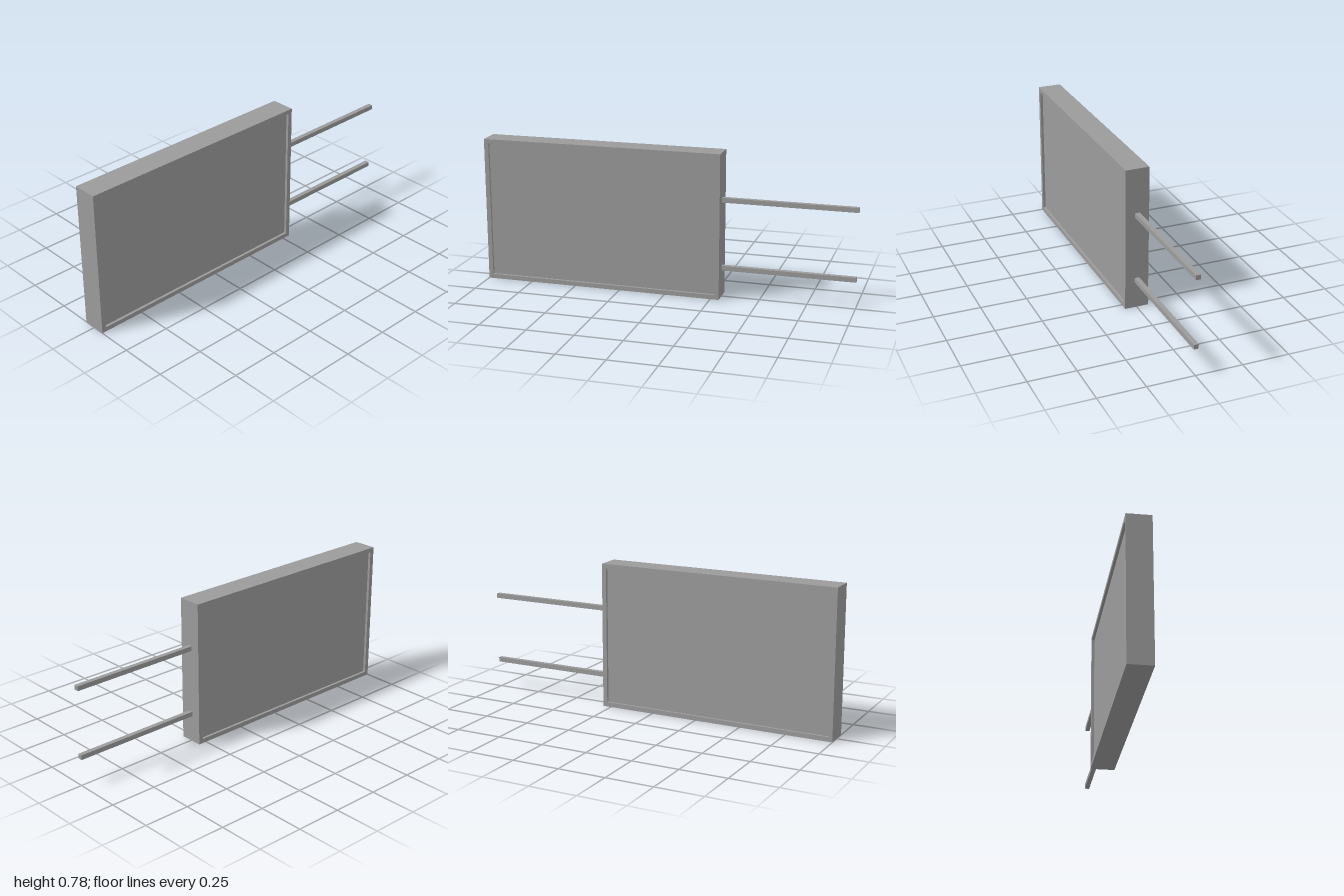
import * as THREE from 'three';

const WIDTH = 0.128, HEIGHT = 0.778, FRONT = 1, BACK = -0.296;
const RIM = 0.024, RECESS = 0.014, ROD = 0.025;

export function createModel() {
  const group = new THREE.Group();
  const material = new THREE.MeshStandardMaterial({ color: 0x9b9b9b });

  const add = (name, geometry, x, y, z) => {
    const mesh = new THREE.Mesh(geometry, material);
    mesh.name = name;
    mesh.position.set(x, y, z);
    group.add(mesh);
  };

  const length = FRONT - BACK;
  const midY = HEIGHT / 2, midZ = (FRONT + BACK) / 2;

  // Rectangular casing, open on both broad sides
  const rectangle = (Type, w, h) => new Type([
    new THREE.Vector2(-w / 2, -h / 2), new THREE.Vector2(w / 2, -h / 2),
    new THREE.Vector2(w / 2, h / 2), new THREE.Vector2(-w / 2, h / 2),
  ]);
  const outline = rectangle(THREE.Shape, length, HEIGHT);
  outline.holes.push(rectangle(THREE.Path, length - 2 * RIM, HEIGHT - 2 * RIM));
  const casing = new THREE.ExtrudeGeometry(outline, { depth: WIDTH, bevelEnabled: false });
  casing.translate(0, 0, -WIDTH / 2).rotateY(Math.PI / 2);
  add('frame', casing, 0, midY, midZ);

  // Sign panel, set back from the rim on both sides
  add('panel', new THREE.BoxGeometry(WIDTH - 2 * RECESS, HEIGHT - 2 * RIM, length - 2 * RIM), 0, midY, midZ);

  // Two square mounting rods reaching back
  const rodLength = BACK + 1;
  for (const [name, y] of [['upperRod', 0.525], ['lowerRod', 0.158]]) {
    add(name, new THREE.BoxGeometry(ROD, ROD, rodLength), 0, y, -1 + rodLength / 2);
  }

  return group;
}
